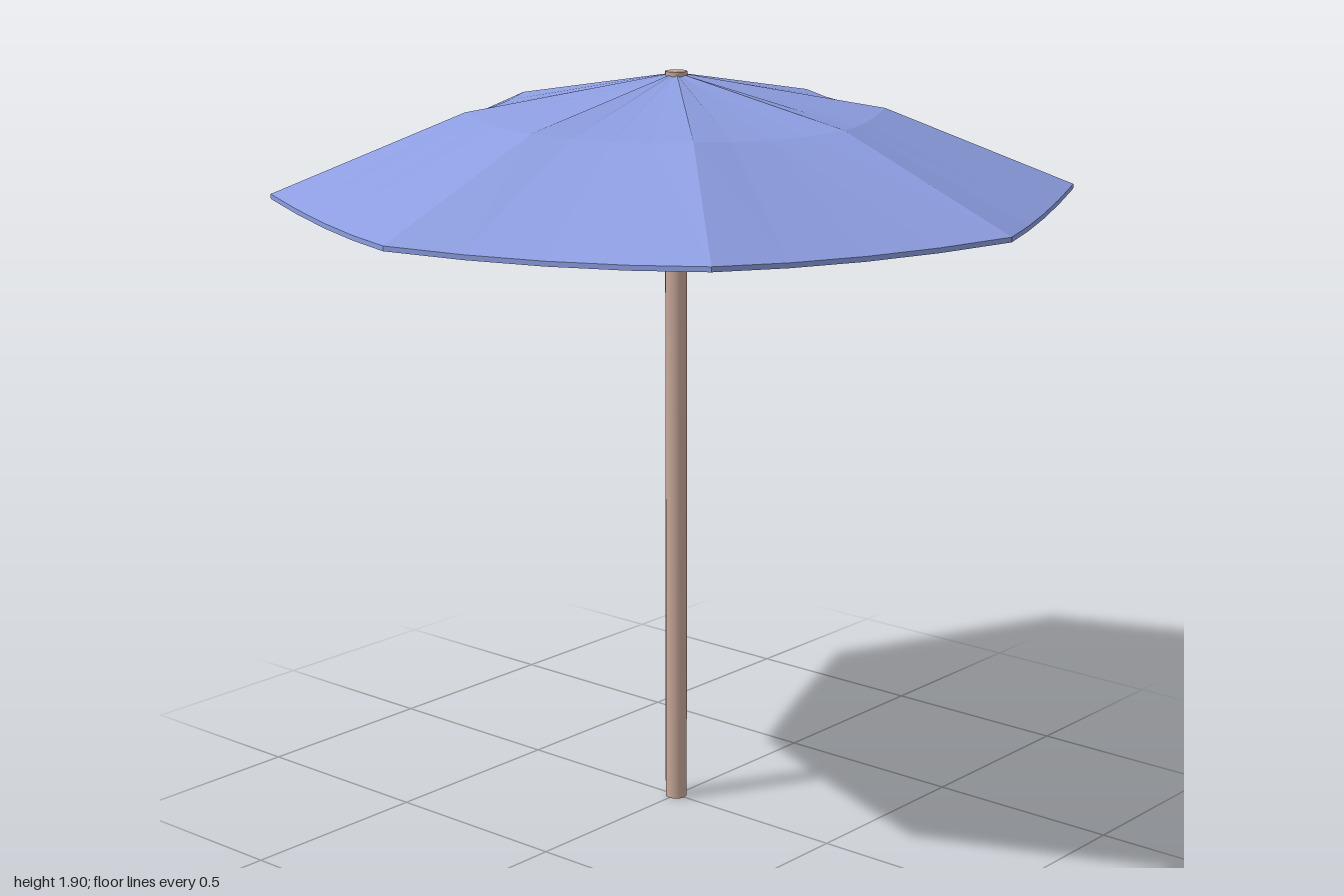
import * as THREE from 'three';

const SIDES = 8, STEPS = 4, N = SIDES * STEPS;
const THICKNESS = 0.012;

// rib profile: radius, height, sag of the cloth halfway between two ribs
const RIB = [
  [0.02, 1.896, 0.003],
  [0.52, 1.806, 0.01],
  [1.0, 1.61, 0.011],
];

// one octagonal ring with straight sides in plan and a slight dip between ribs
function ring([radius, height, sag], drop) {
  const points = [];
  for (let i = 0; i < N; i++) {
    const side = Math.floor(i / STEPS), t = (i % STEPS) / STEPS;
    const a = (side / SIDES) * Math.PI * 2, b = ((side + 1) / SIDES) * Math.PI * 2;
    points.push([
      radius * THREE.MathUtils.lerp(Math.sin(a), Math.sin(b), t),
      height - drop - sag * 4 * t * (1 - t),
      radius * THREE.MathUtils.lerp(Math.cos(a), Math.cos(b), t),
    ]);
  }
  return points;
}

// closed thin shell: upper rings outwards, then lower rings back inwards
function canopyGeometry() {
  const rings = [
    ...RIB.map((r) => ring(r, 0)),
    ...RIB.map((r) => ring(r, THICKNESS)).reverse(),
  ];
  const position = rings.flat(2), index = [];
  for (let r = 0; r < rings.length - 1; r++) {
    for (let i = 0; i < N; i++) {
      const j = (i + 1) % N;
      const a = r * N + i, b = r * N + j, c = a + N, d = b + N;
      index.push(a, c, d, a, d, b);
    }
  }
  const geometry = new THREE.BufferGeometry();
  geometry.setAttribute('position', new THREE.Float32BufferAttribute(position, 3));
  geometry.setIndex(index);
  const flat = geometry.toNonIndexed();
  flat.computeVertexNormals();
  return flat;
}

export function createModel() {
  const model = new THREE.Group();
  model.name = 'parasol';

  // cloth canopy
  const canopy = new THREE.Mesh(
    canopyGeometry(),
    new THREE.MeshStandardMaterial({ color: 0x8c9de0, flatShading: true })
  );
  canopy.name = 'canopy';
  model.add(canopy);

  // pole, its end just showing through the top of the canopy
  const pole = new THREE.Mesh(
    new THREE.CylinderGeometry(0.028, 0.028, 1.903, 12),
    new THREE.MeshStandardMaterial({ color: 0xc8a898 })
  );
  pole.position.y = 1.903 / 2;
  pole.name = 'pole';
  model.add(pole);

  return model;
}
